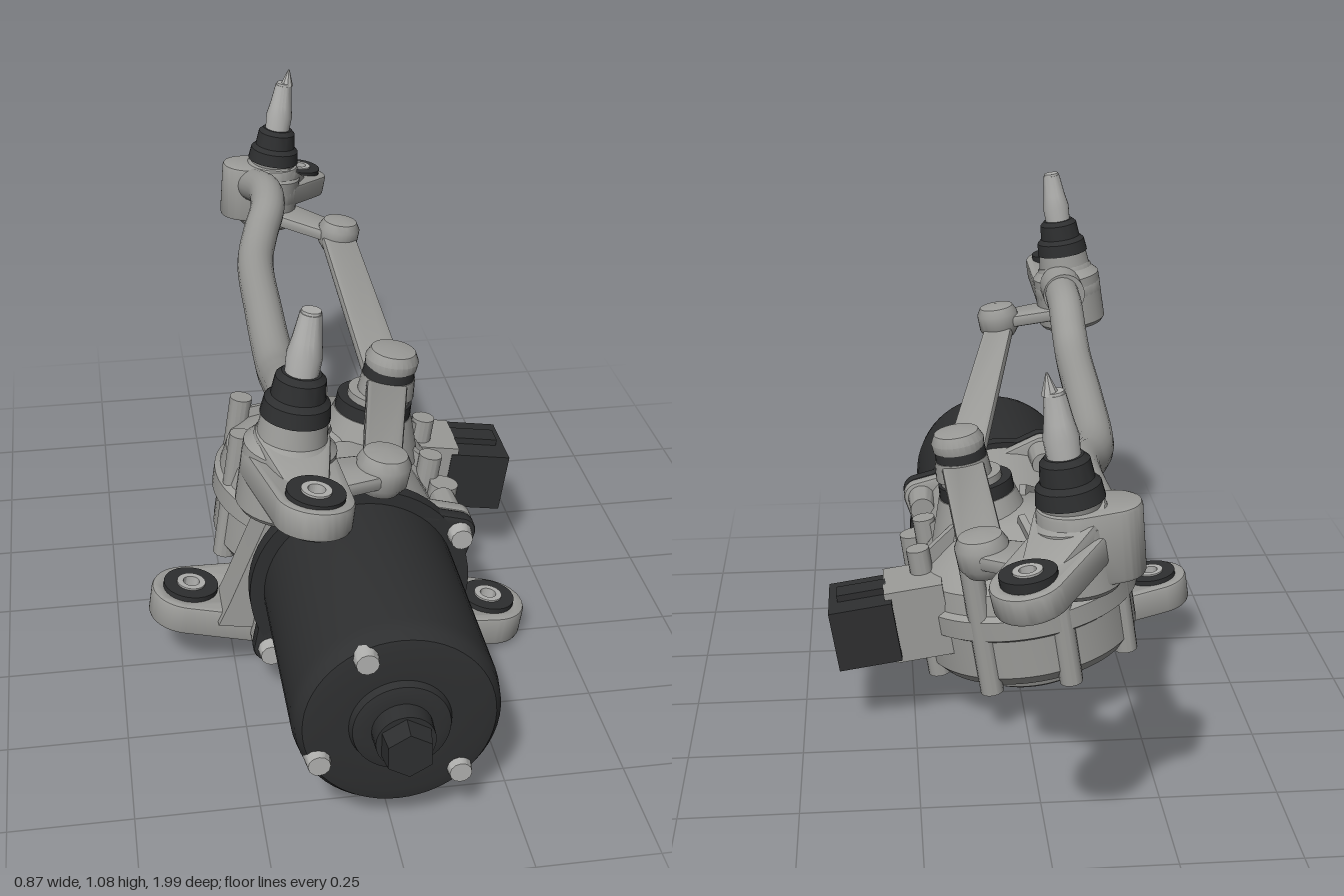
import * as THREE from 'three';
import { toCreasedNormals } from 'three/addons/utils/BufferGeometryUtils.js';

const TILT = 0.15; // sideways lean shared by the gearbox and both pivots
const UP = new THREE.Vector3(Math.sin(TILT), Math.cos(TILT), 0);
const Y = new THREE.Vector3(0, 1, 0);
const V = (x, y, z) => new THREE.Vector3(x, y, z);

const mat = (name, color) => {
  const m = new THREE.MeshStandardMaterial({ color });
  m.name = name;
  return m;
};

export function createModel() {
  const cast = mat('cast metal', 0x9c9c99);
  const steel = mat('steel', 0xb0b0ae);
  const black = mat('black', 0x2e2f30);

  const add = (parent, name, geo, m, x = 0, y = 0, z = 0) => {
    const mesh = new THREE.Mesh(toCreasedNormals(geo, 0.6), m);
    mesh.name = name;
    mesh.position.set(x, y, z);
    parent.add(mesh);
    return mesh;
  };
  const group = (parent, name, x, y, z, tilt) => {
    const g = new THREE.Group();
    g.name = name;
    g.position.set(x, y, z);
    g.rotation.z = tilt;
    parent.add(g);
    return g;
  };
  const lathe = (pts, seg = 40) => new THREE.LatheGeometry(pts.map(p => new THREE.Vector2(...p)), seg);
  const latheZ = (pts, seg) => lathe(pts, seg).rotateX(Math.PI / 2);
  const cyl = (r, h, r2 = r, seg = 28) => new THREE.CylinderGeometry(r2, r, h, seg);
  const cylZ = (r, h, r2 = r, seg = 28) => cyl(r, h, r2, seg).rotateX(Math.PI / 2);

  // Plate whose outline wraps two circles, centred on p and q, with optional hole at q
  const link = (p, q, r1, r2, t, up = UP, hole = 0) => {
    const d = q.clone().sub(p), L = d.length(), a = Math.acos((r1 - r2) / L);
    const s = new THREE.Shape();
    s.absarc(0, 0, r1, a, 2 * Math.PI - a);
    s.absarc(L, 0, r2, -a, a);
    if (hole) s.holes.push(new THREE.Path().absarc(L, 0, hole, 0, Math.PI * 2, true));
    const b = Math.min(0.008, t * 0.25);
    const geo = new THREE.ExtrudeGeometry(s, {
      depth: t - 2 * b, bevelEnabled: true, bevelSize: b, bevelOffset: -b, bevelThickness: b, bevelSegments: 2, curveSegments: 16
    }).translate(0, 0, b - t / 2);
    d.normalize();
    const y = up.clone().cross(d).normalize(), z = d.clone().cross(y);
    return geo.applyMatrix4(new THREE.Matrix4().makeBasis(d, y, z).setPosition(p));
  };

  // Rubber grommet with steel bushing in a mounting eye
  const grommet = (parent, x, y, z, h, r) => {
    const g = group(parent, 'grommet', x, y, z, parent.rotation.z ? 0 : -TILT);
    const ring = (ro, ri, t) => lathe([[ri, -t], [ro, -t], [ro, t], [ri, t], [ri, -t]], 28);
    add(g, 'rubberRing', ring(r, r * 0.5, h / 2), black);
    add(g, 'bushing', ring(r * 0.52, r * 0.3, h / 2 + 0.004), steel);
  };

  const model = new THREE.Group();
  model.name = 'wiperLinkage';

  // ---- Motor ----
  const motor = group(model, 'motor', 0.01, 0.27, 0, 0);
  add(motor, 'motorCan', latheZ([[0, 0.37], [0.205, 0.37], [0.205, 0.8], [0.2, 0.832], [0.188, 0.848], [0.165, 0.853],
    [0.1, 0.853], [0.095, 0.868], [0.08, 0.872], [0.06, 0.872], [0, 0.872]], 56), black);
  add(motor, 'endBoss', cylZ(0.06, 0.05, 0.058), black, 0, 0, 0.885);
  add(motor, 'endNut', cylZ(0.055, 0.05, 0.048, 6), black, 0, 0, 0.926);
  add(motor, 'flangeDisc', cylZ(0.235, 0.035, 0.235, 56), black, 0, 0, 0.375);
  add(motor, 'gearboxNeck', cylZ(0.2, 0.24, 0.222, 48), cast, 0, 0, 0.24);
  for (const deg of [112, 28, -54, 216]) {
    const a = deg * Math.PI / 180, c = Math.cos(a) * 0.24, s = Math.sin(a) * 0.24;
    const ear = (z) => link(V(0, 0, z), V(c, s, z), 0.2, 0.036, 0.035, V(0, 0, 1));
    add(motor, 'flangeEar', ear(0.375), black);
    add(motor, 'castEar', ear(0.34), cast);
    add(motor, 'boltColumn', cylZ(0.028, 0.11, 0.034), cast, c * 0.97, s * 0.97, 0.3);
    add(motor, 'flangeBolt', cylZ(0.027, 0.03, 0.023, 12), steel, c, s, 0.405);
  }
  for (const [x, y] of [[-0.067, 0.155], [0.118, -0.122], [-0.158, -0.072]])
    add(motor, 'capScrew', cylZ(0.027, 0.035, 0.022, 12), steel, x, y, 0.852);

  // ---- Gearbox ----
  const box = group(model, 'gearbox', 0, 0.27, 0, -TILT);
  add(box, 'gearHousing', lathe([[0, -0.18], [0.14, -0.18], [0.155, -0.17], [0.165, -0.14], [0.225, -0.125], [0.245, -0.1],
    [0.245, -0.01], [0.26, 0], [0.26, 0.045], [0.248, 0.055], [0.24, 0.1], [0.21, 0.13], [0.1, 0.2], [0, 0.21]], 64), cast, -0.01, 0, 0.005);
  for (let i = 0; i < 8; i++) {
    const a = 0.5 + i * Math.PI / 4, c = Math.cos(a), s = Math.sin(a);
    if (s < 0.6) add(box, 'housingBoss', cyl(0.026, 0.31, 0.026, 16), cast, -0.01 + c * 0.232, 0.02, s * 0.232);
    const rib = new THREE.BoxGeometry(0.15, 0.05, 0.016).rotateZ(-0.52);
    add(box, 'coverRib', rib.rotateY(-a), cast, c * 0.15, 0.165, s * 0.15);
  }
  add(box, 'sidePillar', cyl(0.035, 0.21, 0.032), cast, 0.225, 0.02, 0.15);
  add(box, 'outputCollar', cyl(0.12, 0.1, 0.088), cast, 0.06, 0.195, 0.04);
  add(box, 'outputSeal', cyl(0.086, 0.035, 0.084), black, 0.06, 0.258, 0.04);
  add(box, 'crankDisc', cyl(0.07, 0.02), cast, 0.068, 0.282, 0.04);
  add(box, 'jointSeal', cyl(0.06, 0.05, 0.056), black, 0.082, 0.34, 0.04);
  add(box, 'jointCap', lathe([[0, 0], [0.058, 0], [0.06, 0.02], [0.05, 0.04], [0, 0.048]], 28), cast, 0.084, 0.355, 0.04);

  // Mounting feet with gussets
  for (const [side, u] of [[1, 0.355], [-1, 0.325]]) {
    add(box, 'foot', link(V(side * 0.06, -0.16, 0.22), V(side * u, -0.16, 0.23), 0.13, 0.085, 0.07, Y, 0.055), cast);
    grommet(box, side * u, -0.157, 0.23, 0.085, 0.06);
    const s = new THREE.Shape([[0.05, -0.15], [0.27, -0.15], [0.255, -0.1], [0.2, 0.12], [0.05, 0.12]].map(p => new THREE.Vector2(p[0] * side, p[1])));
    add(box, 'footGusset', new THREE.ExtrudeGeometry(s, { depth: 0.11, bevelEnabled: false }), cast, 0, 0, 0.23);
  }

  // Electrical connector, open at its outer end
  const plug = group(box, 'connector', 0.35, 0.035, -0.1, 0);
  add(plug, 'connectorBase', new THREE.BoxGeometry(0.13, 0.17, 0.14), cast, -0.115, 0, 0.01);
  const rect = (S, w, h) => {
    const p = new S();
    p.moveTo(-w, -h); p.lineTo(w, -h); p.lineTo(w, h); p.lineTo(-w, h); p.closePath();
    return p;
  };
  const shell = rect(THREE.Shape, 0.082, 0.07);
  shell.holes.push(rect(THREE.Path, 0.067, 0.055));
  add(plug, 'connectorShell', new THREE.ExtrudeGeometry(shell, { depth: 0.14, bevelEnabled: false }).rotateY(Math.PI / 2), black, -0.065);
  add(plug, 'connectorCore', new THREE.BoxGeometry(0.08, 0.12, 0.14), black, -0.02);
  add(plug, 'connectorLatch', new THREE.BoxGeometry(0.11, 0.02, 0.05), black, 0, 0.075);
  for (let i = 0; i < 8; i++)
    add(plug, 'pin', new THREE.BoxGeometry(0.04, 0.018, 0.018), black, 0.035, i < 4 ? 0.025 : -0.025, -0.045 + (i % 4) * 0.03);

  // ---- Frame tube ----
  const path = new THREE.CatmullRomCurve3([[-0.17, 0.81, 0.72], [-0.155, 0.815, 0.6], [-0.153, 0.807, 0.5], [-0.15, 0.77, 0.38],
    [-0.148, 0.745, 0.28], [-0.14, 0.735, 0], [-0.125, 0.73, -0.3], [-0.1, 0.745, -0.42], [-0.068, 0.77, -0.53],
    [-0.062, 0.775, -0.62], [-0.08, 0.75, -0.74]].map(p => V(...p)));
  add(model, 'frameTube', new THREE.TubeGeometry(path, 80, 0.042, 20), cast);

  // ---- Wiper pivots: hub, boot, shaft, mounting eye, crank arm ----
  const pivot = (name, o, ear, joint, hubR, bootY, armV) => {
    const g = group(model, name, o.x, o.y, o.z, -TILT);
    add(g, 'hub', lathe([[0, -0.09], [hubR - 0.008, -0.09], [hubR, -0.08], [hubR, 0.04], [hubR - 0.02, 0.06], [0.06, bootY], [0, bootY]], 32), cast);
    add(g, 'boot', lathe([[0, bootY], [0.064, bootY], [0.06, bootY + 0.03], [0.05, bootY + 0.04], [0.046, bootY + 0.075], [0.036, bootY + 0.085], [0, bootY + 0.085]], 28), black);
    add(g, 'shaft', lathe([[0, bootY], [0.026, bootY], [0.033, bootY + 0.12], [0.027, bootY + 0.15], [0.02, bootY + 0.2], [0, bootY + 0.2]], 20), steel);
    add(g, 'shaftThread', cyl(0.022, 0.03, 0.018, 12), steel, 0, bootY + 0.19, 0);
    add(model, 'mountingEye', link(o, ear, hubR, 0.07, 0.055, UP, 0.045), cast);
    grommet(model, ear.x, ear.y + 0.004, ear.z, 0.07, 0.052);
    const mid = o.clone().lerp(ear, 0.55);
    add(model, 'eyeGusset', link(o.clone().addScaledVector(UP, 0.03), mid, 0.07, 0.045, 0.07), cast);
    add(model, 'crankArm', link(o.clone().addScaledVector(UP, armV), joint, 0.06, 0.042, 0.03), cast);
    const j = group(model, 'ballJoint', joint.x, joint.y, joint.z, -TILT);
    add(j, 'jointCup', lathe([[0, -0.04], [0.036, -0.04], [0.05, -0.02], [0.052, 0.02], [0.042, 0.038], [0, 0.046]], 28), cast);
    return g;
  };
  const frontJoint = V(0, 0.725, 0.68), rearJoint = V(0.125, 0.64, -0.64);
  pivot('frontPivot', V(-0.185, 0.79, 0.735), V(-0.165, 0.805, 0.925), frontJoint, 0.085, 0.1, -0.05);
  const rear = pivot('rearPivot', V(-0.035, 0.72, -0.78), V(0.06, 0.685, -0.92), rearJoint, 0.075, 0.08, -0.055);
  add(rear, 'shaftTip', cyl(0.016, 0.04, 0.002, 8), steel, 0.008, 0.3, 0);
  add(model, 'tubeSocket', link(V(-0.035, 0.72, -0.78), V(-0.1, 0.725, -0.78), 0.07, 0.058, 0.14), cast);
  add(model, 'frontTubeSocket', cylZ(0.052, 0.1), cast, -0.16, 0.812, 0.64);

  // ---- Drive rods ----
  const hub = V(0.128, 0.565, 0.04);
  add(model, 'frontRod', link(hub, frontJoint.clone().addScaledVector(UP, -0.02), 0.046, 0.036, 0.026), cast);
  add(model, 'rearRod', link(hub, rearJoint.clone().addScaledVector(UP, -0.01), 0.048, 0.044, 0.026), cast);
  add(group(model, 'rodHub', hub.x, hub.y, hub.z, -TILT), 'rodEye', cyl(0.064, 0.045, 0.06), cast);

  return model;
}
